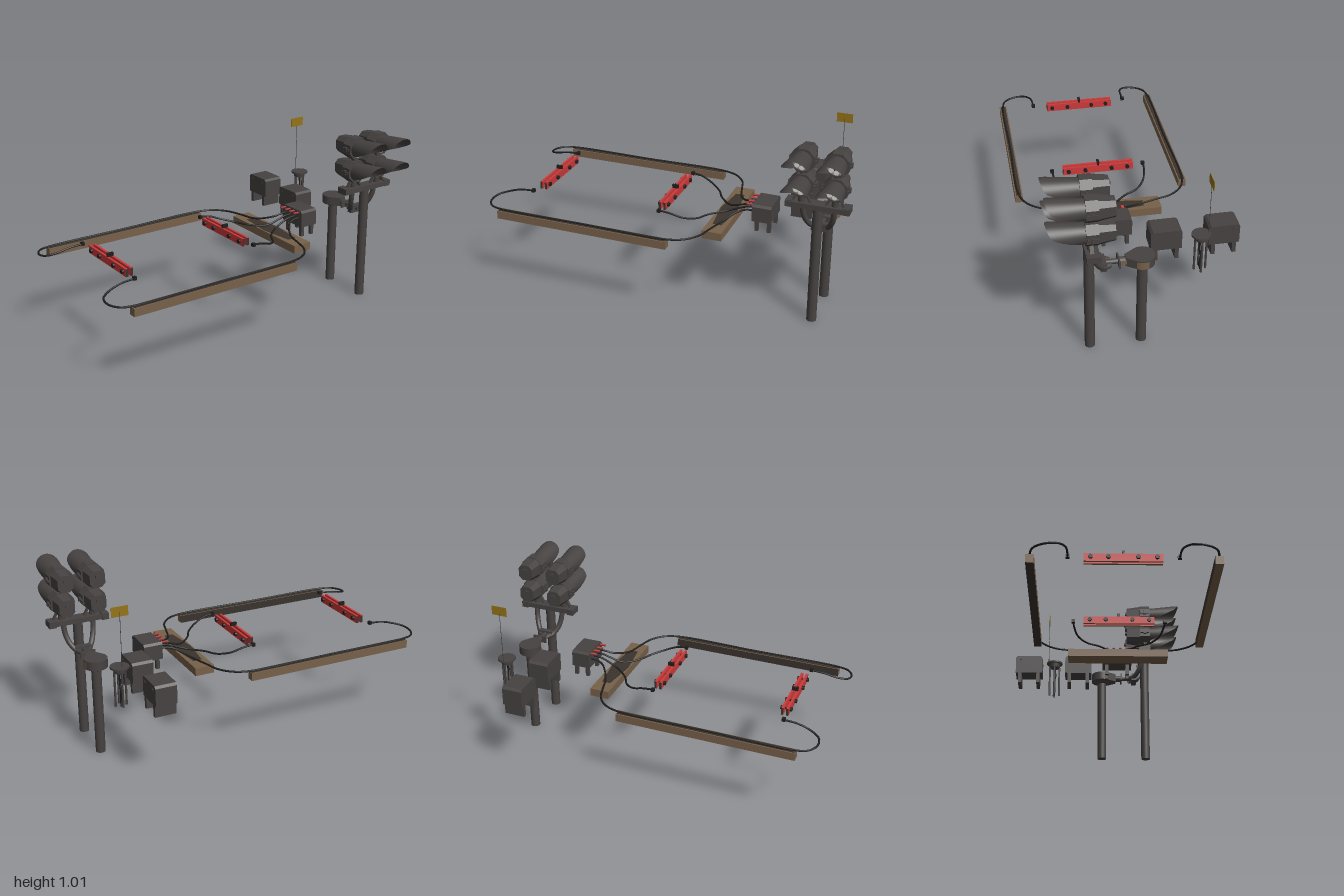
import * as THREE from 'three';

const mat = (name, color) => {
  const m = new THREE.MeshStandardMaterial({ color, side: THREE.DoubleSide });
  m.name = name;
  return m;
};

export function createModel() {
  const root = new THREE.Group();
  const metal = mat('dark metal', 0x464241), black = mat('black rubber', 0x1f1e1e);
  const wood = mat('brown timber', 0x776049), stain = mat('stained timber', 0x3a332e);
  const red = mat('red paint', 0xcc3a3a), yellow = mat('yellow sign', 0x94741a);
  const light = mat('lens white', 0xdcdcd8), grey = mat('lens grey', 0x8a8883);

  const add = (name, geo, m, x = 0, y = 0, z = 0, parent = root) => {
    const mesh = new THREE.Mesh(geo, m);
    mesh.name = name;
    mesh.position.set(x, y, z);
    parent.add(mesh);
    return mesh;
  };
  const box = (name, m, x0, x1, y0, y1, z0, z1, parent = root) =>
    add(name, new THREE.BoxGeometry(x1 - x0, y1 - y0, z1 - z0), m, (x0 + x1) / 2, (y0 + y1) / 2, (z0 + z1) / 2, parent);
  const cyl = (rt, rb, h, n = 16) => new THREE.CylinderGeometry(rt, rb, h, n);
  const tube = (name, pts, r, m, n = 40, sides = 8) => add(name, new THREE.TubeGeometry(
    new THREE.CatmullRomCurve3(pts.map(p => new THREE.Vector3(...p)), false, 'centripetal'), n, r, sides), m);

  // Timber beams, some faces stained (order: +x, -x, +y, -y, +z, -z)
  const beamFaces = [[wood, wood, wood, stain, wood, wood], [wood, wood, wood, wood, wood, stain]];
  [-0.396, 0.53].forEach((z, i) => {
    box('longBeam', beamFaces[i], -0.905, 0.095, 0.435, 0.48, z - 0.021, z + 0.021);
    box('beamTopStain', stain, -0.9, 0.09, 0.48, 0.483, z - 0.014, z + 0.014);
  });
  box('crossBeam', wood, 0.227, 0.337, 0.435, 0.48, -0.225, 0.36);
  for (const s of [-1, 1]) {
    const patch = new THREE.Shape([[-0.05, 0], [0.05, 0], [0.025, 0.2], [-0.025, 0.2]].map(([x, y]) => new THREE.Vector2(x, y)));
    add('crossBeamStain', new THREE.ShapeGeometry(patch), stain, 0.282, 0.481, 0.0675).rotation.x = s * Math.PI / 2;
  }

  // Cables, mirrored about z = 0.065
  const mid = 0.067;
  for (const s of [-1, 1]) {
    const mir = pts => pts.map(([x, y, d]) => [x, y, mid + s * d]);
    tube('longCable', mir([[0.44, 0.53, 0.06], [0.4, 0.527, 0.061], [0.36, 0.515, 0.075], [0.3, 0.488, 0.165], [0.265, 0.487, 0.28],
      [0.24, 0.486, 0.36], [0.18, 0.486, 0.43], [0.09, 0.486, 0.463], [-0.4, 0.486, 0.464], [-0.89, 0.486, 0.464],
      [-0.96, 0.487, 0.443], [-0.995, 0.49, 0.385], [-0.985, 0.498, 0.325], [-0.93, 0.513, 0.292],
      [-0.86, 0.53, 0.283], [-0.78, 0.535, 0.281]]), 0.0055, black, 120);
    tube('shortCable', mir([[0.44, 0.53, 0.02], [0.4, 0.527, 0.02], [0.36, 0.515, 0.022], [0.28, 0.488, 0.04], [0.2, 0.487, 0.115],
      [0.16, 0.49, 0.185], [0.1, 0.505, 0.235], [0.03, 0.53, 0.256], [-0.03, 0.538, 0.26]]), 0.0055, black, 60);
    for (const [x, d] of [[-0.783, 0.281], [-0.03, 0.26]])
      add('cableConnector', new THREE.BoxGeometry(0.018, 0.018, 0.02), black, x, 0.537, mid + s * d);
    // Flat tags above the cable entries, red on top
    for (const d of [0.02, 0.06]) {
      const z = mid + s * d;
      box('entryTag', metal, 0.402, 0.44, 0.561, 0.566, z - 0.008, z + 0.008);
      box('entryTagPaint', red, 0.402, 0.44, 0.566, 0.567, z - 0.008, z + 0.008);
    }
  }

  // Red sensor rails with clamp bolts
  const boardFaces = [red, red, red, wood, stain, stain];
  for (const x of [-0.765, -0.037]) {
    const g = new THREE.Group();
    g.name = 'sensorRail';
    g.position.x = x;
    root.add(g);
    for (const s of [-1, 1])
      box('redBoard', boardFaces, s * 0.014 - 0.0065, s * 0.014 + 0.0065, 0.512, 0.555, -0.135, 0.265, g);
    for (const z of [-0.1, -0.01, 0.14, 0.235]) {
      add('clampBolt', cyl(0.005, 0.005, 0.06, 8), black, 0, 0.535, z, g).rotation.z = Math.PI / 2;
      for (const s of [-1, 1])
        add('boltHead', cyl(0.0115, 0.0115, 0.012, 10), black, s * 0.026, 0.535, z, g).rotation.z = Math.PI / 2;
    }
    box('railBridge', black, -0.018, 0.018, 0.555, 0.566, 0.06, 0.07, g);
    box('railCap', black, -0.018, 0.018, 0.566, 0.575, 0.058, 0.072, g);
  }

  // Equipment cabinets: chamfered profile across z, pushed along x
  const cabinet = (name, x0, x1, z0, z1, top) => {
    const c = 0.012, y0 = 0.478;
    const s = new THREE.Shape([[-z1, y0], [-z0, y0], [-z0, top - c], [-z0 - c, top], [-z1 + c, top], [-z1, top - c]]
      .map(p => new THREE.Vector2(...p)));
    const geo = new THREE.ExtrudeGeometry(s, { depth: x1 - x0, bevelEnabled: false });
    geo.rotateY(Math.PI / 2);
    add(name, geo, metal, x0);
  };
  cabinet('junctionBox', 0.44, 0.548, -0.02, 0.155, 0.575);
  for (const x of [0.453, 0.523]) for (const z of [-0.005, 0.12])
    box('junctionLeg', metal, x, x + 0.02, 0.415, 0.48, z, z + 0.02);
  for (const z of [-0.168, -0.473]) {
    cabinet('cabinet', 0.59, 0.707, z - 0.082, z + 0.082, 0.59);
    for (const d of [-0.056, 0.056])
      box('cabinetFoot', metal, 0.59, 0.707, 0.415, 0.48, z + d - 0.0105, z + d + 0.0105);
    for (const d of [-0.052, 0.052])
      box('cabinetHinge', metal, 0.586, 0.711, 0.562, 0.57, z + d - 0.005, z + d + 0.005);
  }

  // Antenna stand with sign
  const ax = 0.803, az = -0.322;
  add('antennaDisc', cyl(0.05, 0.05, 0.01, 24), metal, ax, 0.627, az);
  add('antennaHub', cyl(0.036, 0.032, 0.026, 20), metal, ax, 0.611, az);
  for (let i = 0; i < 4; i++) {
    const a = i * Math.PI / 2;
    add('standLeg', cyl(0.006, 0.006, 0.19, 8), metal, ax + 0.03 * Math.cos(a), 0.505, az + 0.03 * Math.sin(a));
  }
  tube('standCable', [[ax, 0.6, az], [ax, 0.54, az + 0.006], [ax, 0.49, az - 0.004], [ax, 0.44, az + 0.003],
    [ax, 0.405, az - 0.005]], 0.0055, black);
  add('antennaRod', cyl(0.0013, 0.0018, 0.32, 6), metal, ax, 0.785, -0.36);
  box('sign', yellow, ax - 0.045, ax + 0.045, 0.913, 0.966, -0.361, -0.359);

  // Rear post with teardrop cap
  const px = 0.825, pz = 0.254, rz = -0.018;
  add('rearPost', cyl(0.027, 0.027, 0.51, 24), metal, px, 0.255, rz);
  const drop = new THREE.Shape();
  drop.absarc(0, 0, 0.064, -Math.PI / 5, Math.PI * 1.2, false);
  drop.lineTo(-0.018, -0.088);
  drop.lineTo(0.018, -0.088);
  const dropGeo = new THREE.ExtrudeGeometry(drop, { depth: 0.05, bevelEnabled: false, curveSegments: 24 });
  dropGeo.rotateX(-Math.PI / 2);
  add('postCap', dropGeo, metal, px, 0.51, rz);
  add('postCapCone', cyl(0.05, 0.036, 0.014, 24), metal, px, 0.503, rz);
  // Worn brown patch on the outer side of the cap
  add('capPatch', new THREE.CylinderGeometry(0.065, 0.065, 0.042, 16, 1, true, Math.PI * 0.3, Math.PI * 0.32), wood, px, 0.533, rz);

  // Link pipe and curved arms to the front post
  add('linkPipe', cyl(0.014, 0.014, 0.17, 14), metal, px, 0.535, 0.13).rotation.x = Math.PI / 2;
  add('linkSleeve', cyl(0.02, 0.02, 0.05, 14), metal, px, 0.535, 0.08).rotation.x = Math.PI / 2;
  box('sleevePatch', wood, px + 0.019, px + 0.021, 0.523, 0.547, 0.056, 0.104);
  box('linkFlange', metal, px - 0.042, px + 0.042, 0.515, 0.555, 0.1, 0.108);
  box('linkClamp', metal, px - 0.045, px + 0.045, 0.51, 0.555, 0.17, 0.2);
  for (const s of [-1, 1])
    tube('curvedArm', [[px + s * 0.02, 0.53, 0.15], [px + s * 0.04, 0.535, 0.185], [px + s * 0.065, 0.57, 0.215],
      [px + s * 0.08, 0.62, 0.235], [px + s * 0.085, 0.685, 0.245]], 0.015, metal, 24, 12);

  // Front post and cross bar
  add('frontPost', cyl(0.027, 0.027, 0.7, 24), metal, px, 0.35, pz);
  box('crossBar', metal, px - 0.17, px + 0.17, 0.672, 0.7, 0.22, 0.288);
  for (const s of [-1, 1]) {
    box('barEnd', metal, px + s * 0.15 - 0.02, px + s * 0.15 + 0.02, 0.668, 0.704, 0.215, 0.284);
    add('lampColumn', cyl(0.018, 0.018, 0.2, 14), metal, px + s * 0.0885, 0.79, 0.257);
    for (const t of [-1, 1])
      add('lampStrut', new THREE.BoxGeometry(0.01, 0.055, 0.02), metal, px + s * 0.0885 + t * 0.036, 0.72, 0.257).rotation.z = t * 0.5;
  }

  // Hood: a flared sleeve whose length depends on the angle, longest on top
  const hoodGeo = new THREE.CylinderGeometry(1, 1, 1, 40, 8, true);
  const hp = hoodGeo.attributes.position;
  for (let i = 0; i < hp.count; i++) {
    const r = Math.hypot(hp.getX(i), hp.getZ(i)), sx = hp.getX(i) / r, c = hp.getZ(i) / r;
    const len = Math.max(0.004, Math.min(0.165 + (c - 0.35) * 0.038, 0.165 * (c + 0.85) / 1.2));
    const z = (hp.getY(i) + 0.5) * len, rad = 0.053 + 0.018 * Math.min(1, z / 0.17);
    hp.setXYZ(i, -sx * rad, c * rad, z);
  }
  hoodGeo.computeVertexNormals();

  // Back housing: a box narrowed toward the rear
  const backGeo = new THREE.CylinderGeometry(1, 1, 0.086, 8).toNonIndexed();
  const bp = backGeo.attributes.position;
  for (let i = 0; i < bp.count; i++) {
    const rear = bp.getY(i) < 0, k = rear ? 0.8 : 1;
    const sq = v => Math.sign(Math.round(v * 100)) * Math.min(Math.abs(v), 0.72) / 0.72;
    const a = Math.atan2(bp.getX(i), bp.getZ(i)) + Math.PI / 8, on = Math.hypot(bp.getX(i), bp.getZ(i)) > 0.1 ? 1 : 0;
    bp.setXYZ(i, -sq(Math.sin(a)) * 0.054 * k * on, sq(Math.cos(a)) * 0.058 * k * on, bp.getY(i));
  }
  backGeo.computeVertexNormals();

  // Four lamps
  for (const sx of [-1, 1]) for (const y of [0.798, 0.936]) {
    const lamp = new THREE.Group();
    lamp.name = 'lamp';
    lamp.position.set(px + sx * 0.0885, y, 0);
    root.add(lamp);
    const collarGeo = cyl(0.068, 0.068, 0.062, 8).toNonIndexed();
    collarGeo.rotateY(Math.PI / 8).rotateX(Math.PI / 2);
    collarGeo.computeVertexNormals();
    add('lampCollar', collarGeo, metal, 0, 0, 0.254, lamp);
    add('lampHousing', backGeo, metal, 0, 0, 0.182, lamp);
    add('lampHood', hoodGeo, metal, 0, 0, 0.285, lamp);
    box('rearHandle', metal, -0.012, 0.012, 0.01, 0.024, 0.13, 0.142, lamp);
    for (const s of [-1, 1]) {
      box('sideLatch', metal, s * 0.066 - 0.006, s * 0.066 + 0.006, -0.005, 0.005, 0.225, 0.28, lamp);
      box('latchKnob', metal, s * 0.067 - 0.008, s * 0.067 + 0.008, -0.012, 0.012, 0.245, 0.262, lamp);
    }
    // Lens with a ring of bright spots
    add('lensPlate', new THREE.CircleGeometry(0.052, 32), grey, 0, 0, 0.287, lamp);
    for (let i = 0; i < 9; i++) {
      const a = i * Math.PI / 4, r = i < 8 ? 0.037 : 0;
      add('lensSpot', new THREE.CircleGeometry(0.0138, 14), light, r * Math.cos(a), r * Math.sin(a), 0.289, lamp);
      if (i < 8) add('lensGap', new THREE.CircleGeometry(0.006, 8), black,
        0.022 * Math.cos(a + 0.39), 0.022 * Math.sin(a + 0.39), 0.288, lamp);
    }
  }
  return root;
}
